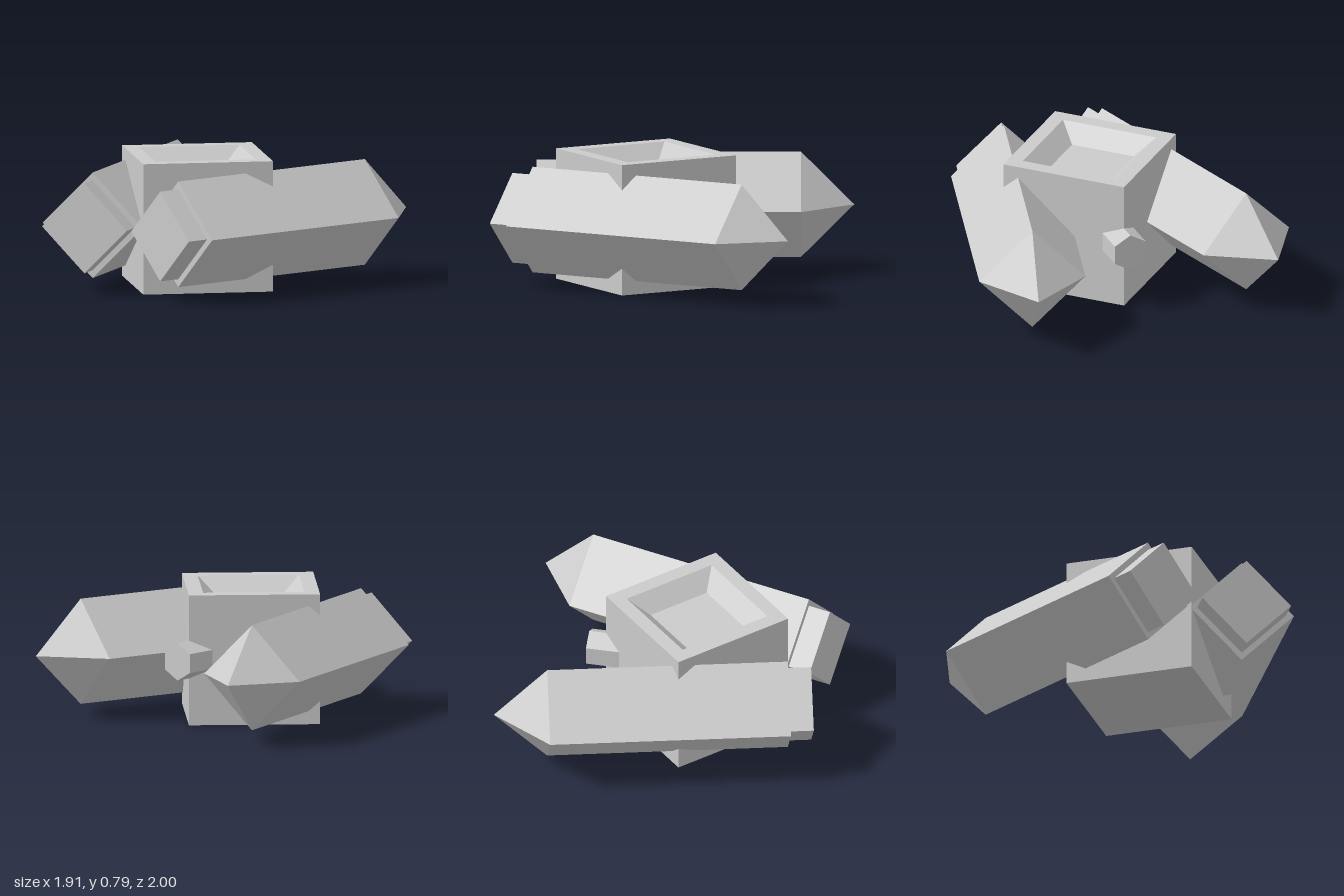
import * as THREE from 'three';

const material = new THREE.MeshStandardMaterial({ color: 0xcccccc, flatShading: true });

// Faceted solid of revolution from [radius, height] pairs
function facetedSolid(name, profile, sides) {
  const points = profile.map(([r, y]) => new THREE.Vector2(r, y));
  const mesh = new THREE.Mesh(new THREE.LatheGeometry(points, sides), material);
  mesh.name = name;
  return mesh;
}

export function createModel() {
  const model = new THREE.Group();
  model.name = 'twinPodCraft';

  // Square hub turned on its corner, with a sloped recess in the top
  const hub = facetedSolid('hub', [
    [0, 0], [0.557, 0], [0.557, 0.79], [0.43, 0.79], [0.285, 0.69], [0, 0.69],
  ], 4);
  hub.position.set(-0.13, 0, 0.012);
  model.add(hub);

  // Diamond-section pods with pointed noses and stepped tails, splayed 15 degrees
  for (const side of [-1, 1]) {
    const pod = facetedSolid(side > 0 ? 'frontPod' : 'backPod', [
      [0, -0.14], [0.272, -0.14], [0.272, 0], [0.32, 0], [0.32, 1.445], [0, 1.765],
    ], 4);
    pod.geometry.rotateZ(-Math.PI / 2);
    pod.rotation.y = -side * Math.PI / 12;
    pod.position.set(-0.752, 0.4, side * 0.316);
    model.add(pod);
  }

  // Hexagonal peg through the hub's leading corner
  const peg = new THREE.Mesh(new THREE.CylinderGeometry(0.115, 0.115, 0.33, 6), material);
  peg.geometry.rotateY(Math.PI / 6).rotateZ(-Math.PI / 2);
  peg.position.set(0.365, 0.4, 0.012);
  peg.name = 'peg';
  model.add(peg);

  return model;
}
